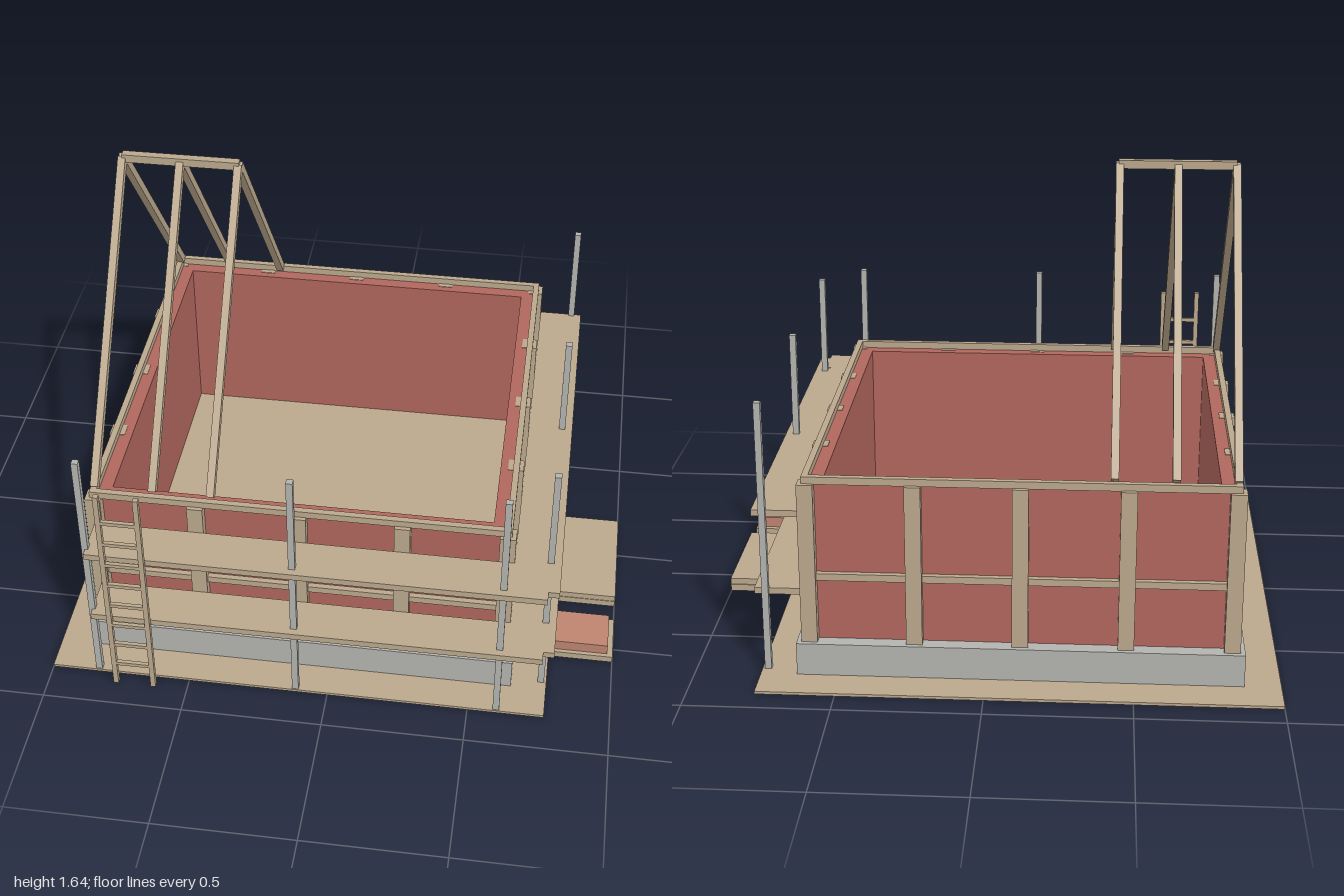
import * as THREE from 'three';

const mat = (name, color) => {
  const m = new THREE.MeshStandardMaterial({ color });
  m.name = name;
  return m;
};

export function createModel() {
  const timber = mat('timber', 0xbba88d);
  const brickWall = mat('red wall', 0xb0665d);
  const stone = mat('grey concrete', 0xb3b3af);
  const brick = mat('loose brick', 0xbd8470);
  const model = new THREE.Group();
  model.name = 'houseUnderConstruction';

  const group = (name) => {
    const g = new THREE.Group();
    g.name = name;
    model.add(g);
    return g;
  };
  // Box given by its limits on each axis
  const box = (parent, name, material, [x0, x1], [y0, y1], [z0, z1]) => {
    const mesh = new THREE.Mesh(new THREE.BoxGeometry(x1 - x0, y1 - y0, z1 - z0), material);
    mesh.position.set((x0 + x1) / 2, (y0 + y1) / 2, (z0 + z1) / 2);
    mesh.name = name;
    parent.add(mesh);
  };
  const around = (c, w) => [c - w / 2, c + w / 2];

  // House centre and half size of the timber frame line
  const cx = -0.115, cz = -0.023, half = 0.716;

  // Square ring around the house centre
  const ring = (parent, name, material, outer, inner, y0, y1) => {
    const s = new THREE.Shape();
    s.moveTo(-outer, -outer).lineTo(outer, -outer).lineTo(outer, outer).lineTo(-outer, outer).closePath();
    const h = new THREE.Path();
    h.moveTo(-inner, -inner).lineTo(-inner, inner).lineTo(inner, inner).lineTo(inner, -inner).closePath();
    s.holes.push(h);
    const geo = new THREE.ExtrudeGeometry(s, { depth: y1 - y0, bevelEnabled: false });
    geo.rotateX(-Math.PI / 2);
    const mesh = new THREE.Mesh(geo, material);
    mesh.position.set(cx, y0, cz);
    mesh.name = name;
    parent.add(mesh);
  };

  // Ground, foundation, floor and walls
  box(model, 'groundPlate', timber, [-1, 0.77], [0, 0.01], [-0.91, 0.86]);
  const house = group('house');
  ring(house, 'foundation', stone, 0.76, 0.69, 0.003, 0.126);
  box(house, 'floor', timber, around(cx, 1.36), [0.02, 0.065], around(cz, 1.36));
  ring(house, 'walls', brickWall, 0.709, 0.662, 0.05, 0.7);

  // Timber frame: rails and square posts on the wall line
  const frame = group('timberFrame');
  ring(frame, 'middleRail', timber, half + 0.013, half - 0.01, 0.35, 0.375);
  ring(frame, 'topPlate', timber, half + 0.013, half - 0.009, 0.7, 0.726);
  const steps = [-1, -0.5, 0, 0.5, 1];
  for (const a of steps) {
    for (const b of steps) {
      if (Math.max(Math.abs(a), Math.abs(b)) < 1) continue;
      box(frame, 'wallPost', timber, around(cx + a * half, 0.055), [0.126, 0.702], around(cz + b * half, 0.055));
    }
  }

  // Roof trusses: leaning rafter pairs below a ridge beam
  const roof = group('roofFrame');
  const rise = 0.9, run = 0.698;
  for (const x of [-0.83, -0.627, -0.424]) {
    for (const side of [-1, 1]) {
      const rafter = new THREE.Mesh(new THREE.BoxGeometry(0.027, Math.hypot(rise, run), 0.03), timber);
      rafter.position.set(x, 0.727 + rise / 2, cz + side * run / 2);
      rafter.rotation.x = -side * Math.atan2(run, rise);
      rafter.name = 'rafter';
      roof.add(rafter);
    }
  }
  box(roof, 'ridgeBeam', timber, [-0.83, -0.42], [1.615, 1.644], around(cz, 0.03));

  // Scaffold on the front and the model's left
  const scaffold = group('scaffold');
  for (const t of [-1, 0, 1]) {
    box(scaffold, 'frontPole', stone, around(cx + t * half, 0.023), [0.004, 0.982], around(0.844, 0.023));
    box(scaffold, 'sidePole', stone, around(0.75, 0.023), [0.004, 0.982], around(cz + t * half, 0.023));
  }
  for (const y of [0.3, 0.586]) {
    box(scaffold, 'frontDeck', timber, [-0.83, 0.75], around(y, 0.024), [0.72, 0.881]);
    box(scaffold, 'sideDeck', timber, [0.628, 0.788], around(y, 0.023), [-0.738, 0.844]);
  }

  // Ladder
  const ladder = group('ladder');
  for (const x of [-0.756, -0.621]) box(ladder, 'ladderRail', timber, around(x, 0.018), [0.004, 0.89], around(0.901, 0.018));
  for (let i = 0; i < 8; i++) {
    box(ladder, 'rung', timber, [-0.756, -0.621], around(0.102 + i * 0.096, 0.014), around(0.901, 0.014));
  }

  // Building supplies beside the house
  const supplies = group('supplies');
  box(supplies, 'lowerBoards', timber, [0.771, 1], [0.003, 0.028], [-0.14, 0.28]);
  box(supplies, 'upperBoards', timber, [0.771, 1], [0.03, 0.053], [-0.14, 0.28]);
  box(supplies, 'pallet', timber, [0.771, 1], [0.003, 0.028], [0.375, 0.565]);
  box(supplies, 'brickPile', brick, [0.79, 0.98], [0.028, 0.068], [0.395, 0.55]);

  return model;
}
